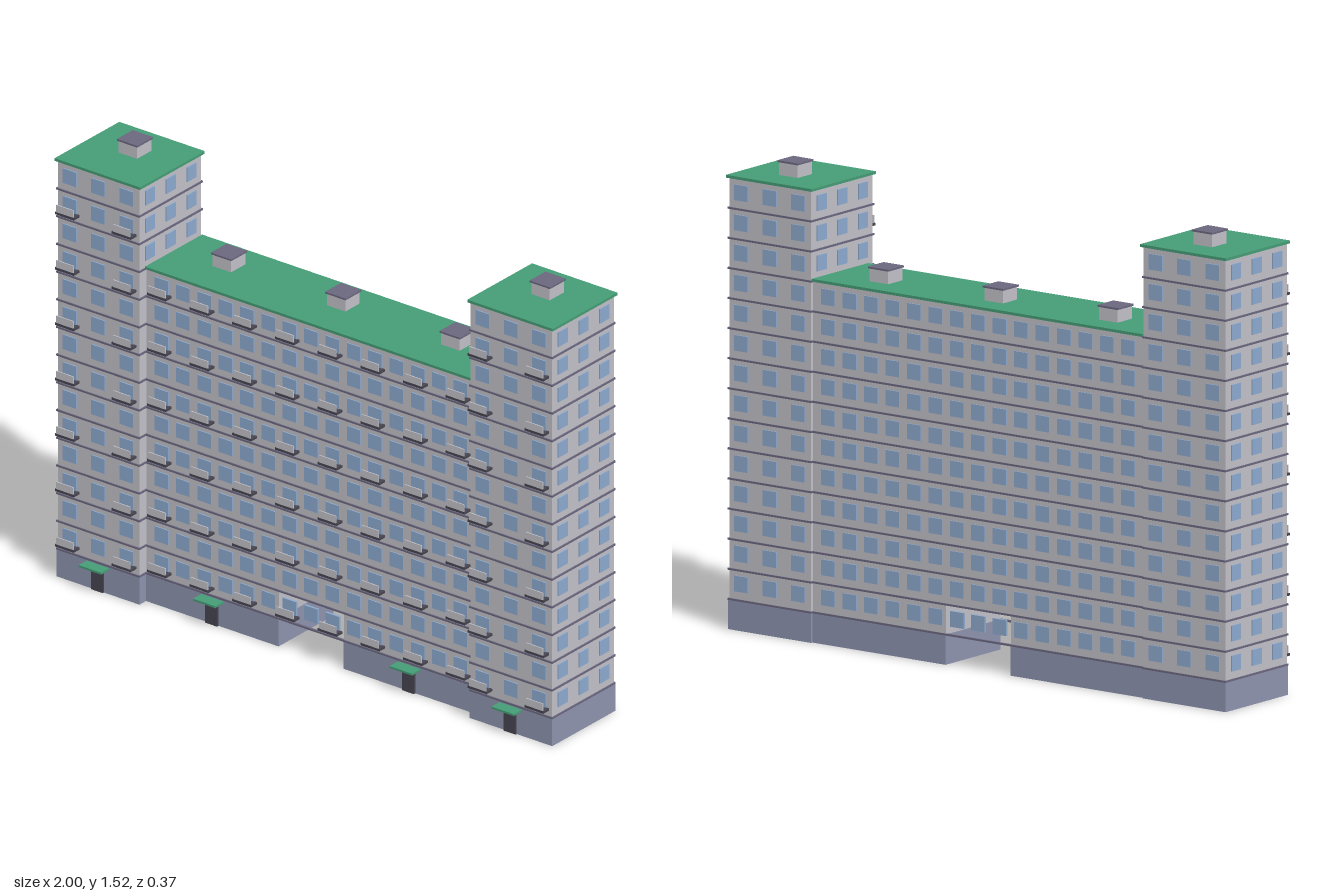
import * as THREE from 'three';
import { mergeGeometries } from 'three/addons/utils/BufferGeometryUtils.js';

const mat = (name, color) => {
  const m = new THREE.MeshStandardMaterial({ color });
  m.name = name;
  return m;
};

const BASE = 0.098;   // plinth height
const FLOOR = 0.0975; // storey height
const GAP = 0.13;     // half width of the passage
const floorY = (i) => BASE + i * FLOOR;

// Box given by its limits
function box(x0, x1, y0, y1, z0, z1) {
  const g = new THREE.BoxGeometry(x1 - x0, y1 - y0, z1 - z0);
  return g.translate((x0 + x1) / 2, (y0 + y1) / 2, (z0 + z1) / 2);
}

export function createModel() {
  const mats = {
    wall: mat('wall grey', 0xc2c1c9),
    plinth: mat('plinth blue grey', 0x8e94b0),
    glass: mat('window blue', 0x8eabd0),
    roof: mat('roof green', 0x459e76),
    trim: mat('trim purple grey', 0x6c6880),
    dark: mat('dark grey', 0x474550),
  };

  // Each block gathers its boxes by part name, one merged mesh per part
  function block(name, build) {
    const parts = {};
    build((part, material, ...limits) => {
      parts[part] ??= { material, list: [] };
      parts[part].list.push(box(...limits));
    });
    const group = new THREE.Group();
    group.name = name;
    for (const [part, { material, list }] of Object.entries(parts)) {
      const mesh = new THREE.Mesh(mergeGeometries(list), mats[material]);
      mesh.name = part;
      group.add(mesh);
    }
    return group;
  }

  const T = 0.004; // how far windows stand out from the wall
  // Window on a front or back wall
  const windowZ = (add, x, f, z) =>
    add('windows', 'glass', x - 0.027, x + 0.027, floorY(f) + 0.028, floorY(f) + 0.079, z - T, z + T);
  // Window on a side wall
  const windowX = (add, x, f, z) =>
    add('windows', 'glass', x - T, x + T, floorY(f) + 0.028, floorY(f) + 0.079, z - 0.024, z + 0.024);

  // Balcony: dark slab with a light front panel
  function balcony(add, x, f, z) {
    const y = floorY(f) + 0.022;
    add('balconySlabs', 'dark', x - 0.038, x + 0.038, y, y + 0.008, z, z + 0.03);
    add('balconyPanels', 'wall', x - 0.034, x + 0.034, y + 0.008, y + 0.033, z + 0.025, z + 0.029);
  }

  // Door with a canopy over it
  function entrance(add, x, z) {
    add('door', 'dark', x - 0.024, x + 0.024, 0, 0.085, z, z + 0.008);
    add('canopy', 'roof', x - 0.045, x + 0.045, 0.085, 0.092, z, z + 0.044);
  }

  // Ventilation housing on a roof
  function vent(add, x, y, z, s) {
    add('ventHousing', 'wall', x - s + 0.004, x + s - 0.004, y, y + 0.042, z - s + 0.004, z + s - 0.004);
    add('ventCap', 'trim', x - s, x + s, y + 0.042, y + 0.048, z - s, z + s);
  }

  const group = new THREE.Group();
  group.name = 'apartmentBuilding';

  // Long middle block with an open passage
  group.add(block('middleBlock', (add) => {
    const X = 0.662, F = 0.107, B = -0.17, n = 11, top = floorY(n);
    for (const s of [-1, 1]) {
      const [a, b] = s < 0 ? [-X, -GAP] : [GAP, X];
      add('plinth', 'plinth', a, b, 0, BASE, B - 0.003, F + 0.003);
      add('walls', 'wall', a, b, BASE, floorY(1), B, F);
      entrance(add, s * 0.395, F + 0.003);
    }
    add('walls', 'wall', -X, X, floorY(1), top, B, F);
    add('roof', 'roof', -X, X, top, top + 0.009, B - 0.008, F + 0.008);
    for (let f = 0; f < n; f++) {
      const y = floorY(f);
      for (const z of [F, B])
        add('floorBands', 'trim', -X, X, y - 0.003, y + 0.003, z - 0.004, z + 0.004);
      for (let i = 0; i < 15; i++) {
        const x = (i - 7) * 0.0857;
        windowZ(add, x, f, F);
        windowZ(add, x, f, B);
        if (f % 2 === 0 && i % 2 === 0) balcony(add, x, f, F);
      }
    }
    for (const x of [-0.459, 0, 0.459]) vent(add, x, top + 0.009, -0.056, 0.041);
  }));

  // Two taller end towers
  for (const s of [-1, 1]) {
    group.add(block(s < 0 ? 'rightTower' : 'leftTower', (add) => {
      const c = s * 0.8285, W = 0.1635, F = 0.141, B = -0.177, n = 14, top = floorY(n);
      add('plinth', 'plinth', c - W - 0.003, c + W + 0.003, 0, BASE, B - 0.003, F + 0.003);
      add('walls', 'wall', c - W, c + W, BASE, top, B, F);
      add('roof', 'roof', c - W - 0.008, c + W + 0.008, top, top + 0.009, B - 0.008, F + 0.007);
      for (let f = 0; f < n; f++) {
        const y = floorY(f);
        add('floorBands', 'trim', c - W - 0.004, c + W + 0.004, y - 0.003, y + 0.003, B - 0.004, F + 0.004);
        for (const k of [-1, 0, 1]) {
          const x = c + k * 0.114, z = -0.018 + k * 0.107;
          windowZ(add, x, f, F);
          windowZ(add, x, f, B);
          windowX(add, c + s * W, f, z);
          if (f >= 11) windowX(add, c - s * W, f, z); // inner side, above the middle roof
          if (k && f % 2 === 0) balcony(add, x, f, F);
        }
      }
      entrance(add, c, F + 0.001);
      vent(add, c, top + 0.009, -0.046, 0.041);
    }));
  }
  return group;
}
